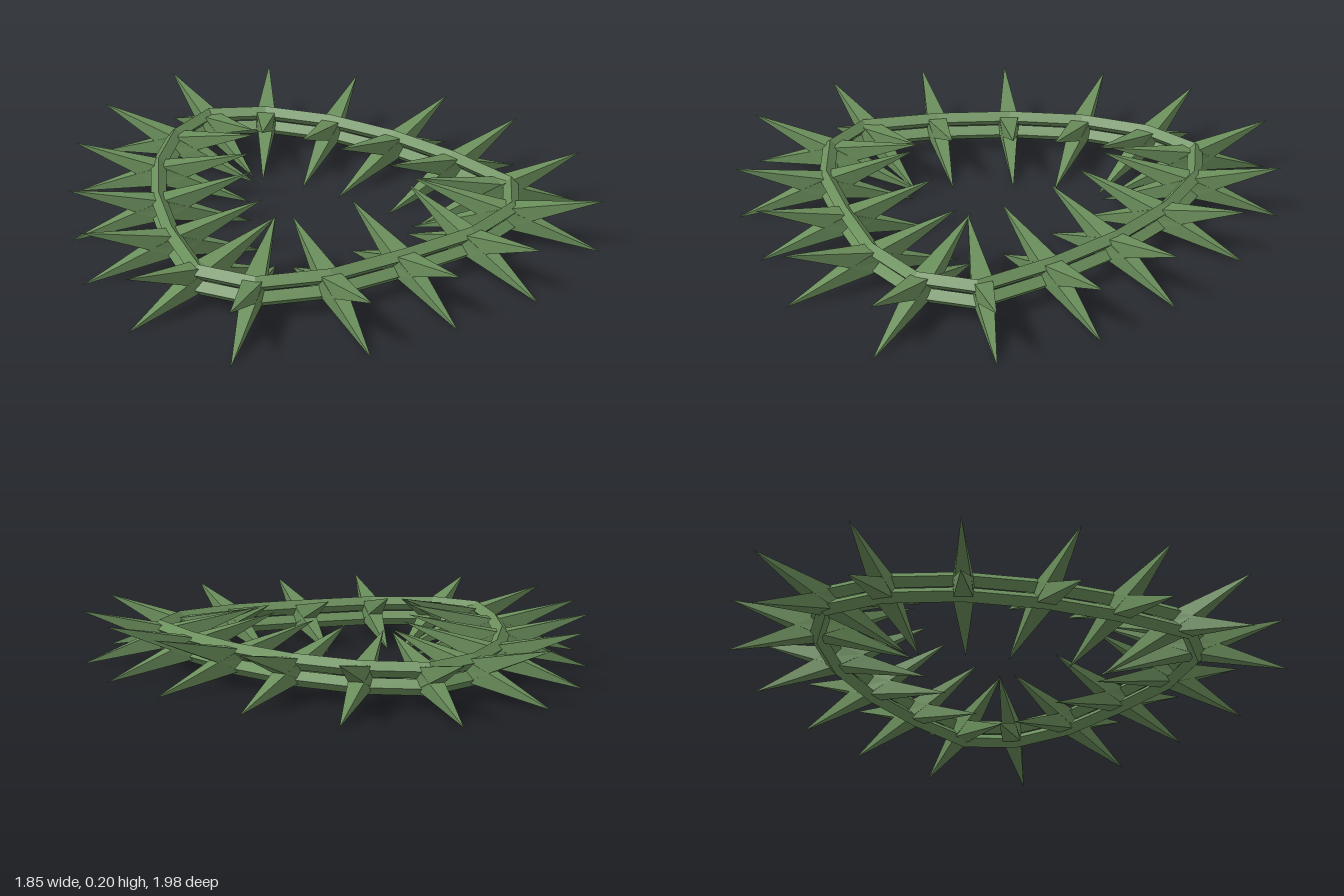
import * as THREE from 'three';

const MID = 0.1; // height of the middle plane

// Half outline from back to front: ring point, outer and inner spike tips (x, z)
const half = [
  { ring: [0, -0.69], outer: [0, -0.99], inner: [0, -0.34] },
  { ring: [0.2, -0.59], outer: [0.37, -0.855], inner: [0.016, -0.3] },
  { ring: [0.375, -0.39], outer: [0.62, -0.585], inner: [0.11, -0.167] },
  { ring: [0.505, -0.14], outer: [0.815, -0.235], inner: [0.18, -0.03] },
  { ring: [0.59, 0.125], outer: [0.915, 0.08], inner: [0.26, 0.18] },
  { ring: [0.64, 0.41], outer: [0.926, 0.447], inner: [0.286, 0.315] },
  { ring: [0.52, 0.575], outer: [0.746, 0.807], inner: [0.28, 0.3] },
  { ring: [0.285, 0.657], outer: [0.334, 0.985], inner: [0.238, 0.336] },
  { ring: [0, 0.667], outer: [0, 0.99], inner: [0, 0.34] },
];
const flip = ([x, z]) => [-x, z];
const nodes = half.concat(
  half.slice(1, -1).reverse().map((n) => ({ ring: flip(n.ring), outer: flip(n.outer), inner: flip(n.inner) }))
);

// Closed ring with a diamond section, mitred at every corner
function ringGeometry(points, y, r) {
  const n = points.length;
  const sections = points.map(([x, z], i) => {
    const [ax, az] = points[(i + n - 1) % n];
    const [bx, bz] = points[(i + 1) % n];
    const d1 = new THREE.Vector2(x - ax, z - az).normalize();
    const d2 = new THREE.Vector2(bx - x, bz - z).normalize();
    const t = d1.clone().add(d2).normalize();
    const k = r / t.dot(d1);
    const ox = t.y * k, oz = -t.x * k; // outward offset
    return [[x + ox, y, z + oz], [x, y + r, z], [x - ox, y, z - oz], [x, y - r, z]];
  });
  const pos = [];
  for (let i = 0; i < n; i++) {
    const s = sections[i], e = sections[(i + 1) % n];
    for (let j = 0; j < 4; j++) {
      const k = (j + 1) % 4;
      pos.push(...s[j], ...s[k], ...e[j], ...s[k], ...e[k], ...e[j]);
    }
  }
  const g = new THREE.BufferGeometry();
  g.setAttribute('position', new THREE.Float32BufferAttribute(pos, 3));
  g.computeVertexNormals();
  return g;
}

export function createModel() {
  const model = new THREE.Group();
  model.name = 'spikedRing';
  const mat = new THREE.MeshStandardMaterial({ color: 0x6b8f5c, flatShading: true, side: THREE.DoubleSide });

  // Two stacked wires
  const outline = nodes.map((n) => n.ring);
  [['upperWire', 0.029], ['lowerWire', -0.029]].forEach(([name, dy]) => {
    const wire = new THREE.Mesh(ringGeometry(outline, MID + dy, 0.028), mat);
    wire.name = name;
    model.add(wire);
  });

  // Four-sided spike of unit length along +z, flat side up
  const spikeGeo = new THREE.ConeGeometry(0.037 * Math.SQRT2, 1, 4, 1, true, Math.PI / 4);
  spikeGeo.translate(0, 0.5, 0).rotateX(Math.PI / 2);

  // At every corner two double-ended thorns cross like an X
  nodes.forEach((n) => {
    const barb = new THREE.Group();
    barb.name = 'barb';
    const base = new THREE.Vector3((n.outer[0] + n.inner[0]) / 2, MID, (n.outer[1] + n.inner[1]) / 2);
    for (const [side, tip] of [['outer', n.outer], ['inner', n.inner]]) {
      for (const [level, y] of [['Upper', 0.2], ['Lower', 0]]) {
        const end = new THREE.Vector3(tip[0], y, tip[1]);
        const spike = new THREE.Mesh(spikeGeo, mat);
        spike.name = side + level + 'Spike';
        spike.position.copy(base);
        spike.lookAt(end);
        spike.scale.z = base.distanceTo(end);
        barb.add(spike);
      }
    }
    model.add(barb);
  });
  return model;
}
